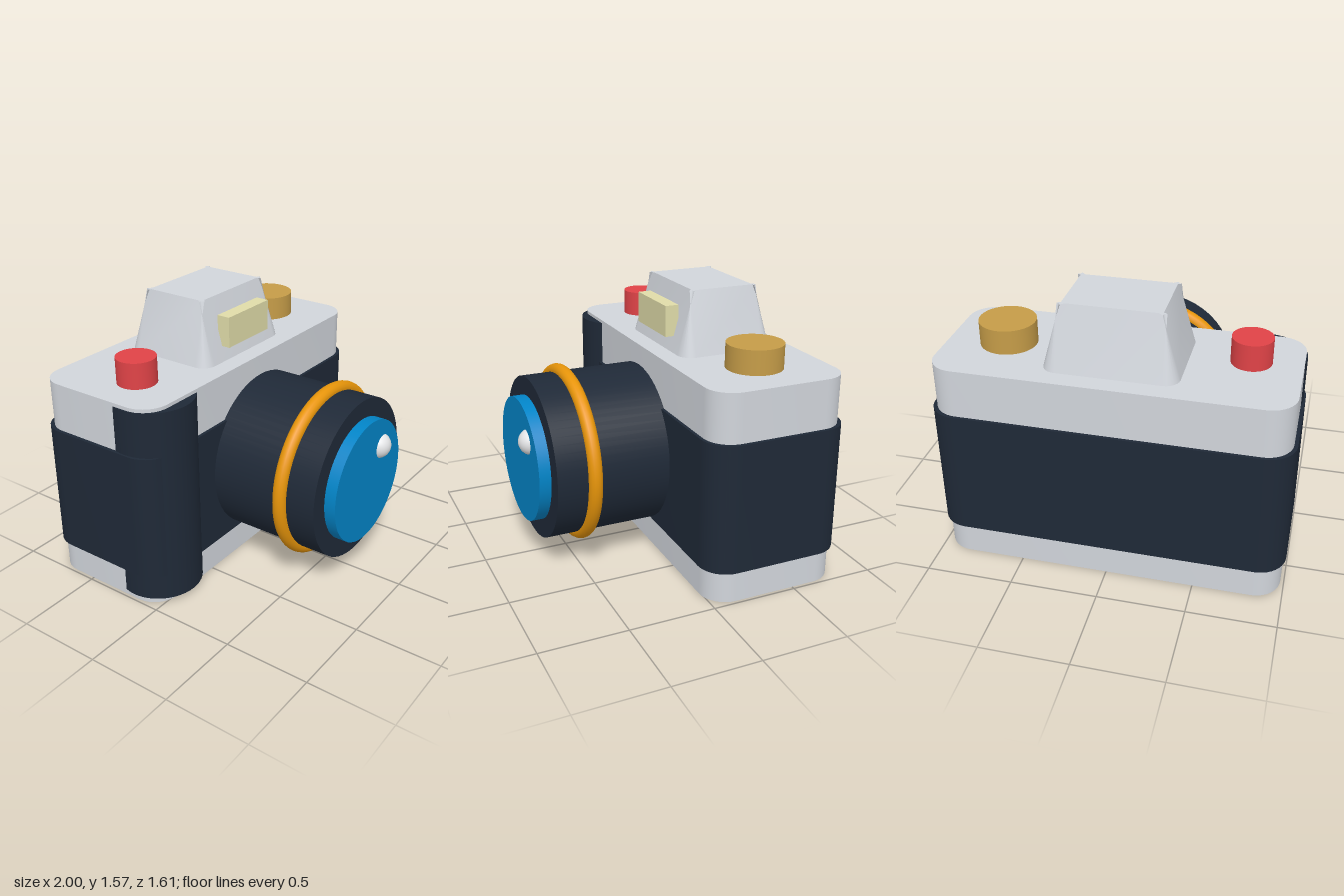
import * as THREE from 'three';
import { toCreasedNormals } from 'three/addons/utils/BufferGeometryUtils.js';

const paint = (name, color, side = THREE.FrontSide) => {
  const m = new THREE.MeshStandardMaterial({ color, side });
  m.name = name;
  return m;
};

// Closed outline of a rounded rectangle, inset by d; corners fold over when d exceeds r
function roundedOutline(w, h, r, d = 0, steps = 10) {
  const pts = [];
  const corners = [[1, 1], [-1, 1], [-1, -1], [1, -1]];
  corners.forEach(([sx, sy], i) => {
    for (let k = 0; k <= steps; k++) {
      const a = (i + k / steps) * Math.PI / 2;
      pts.push(new THREE.Vector2(
        sx * (w / 2 - r) + (r - d) * Math.cos(a),
        sy * (h / 2 - r) + (r - d) * Math.sin(a)));
    }
  });
  return pts;
}

// Upright slab with rounded vertical corners, from y0 to y1
function slab(w, depth, r, y0, y1) {
  const geo = new THREE.ExtrudeGeometry(new THREE.Shape(roundedOutline(w, depth, r)),
    { depth: y1 - y0, bevelEnabled: false });
  geo.rotateX(-Math.PI / 2).translate(0, y0, 0);
  return toCreasedNormals(geo, 0.6);
}

// Tapered hump: rounded base outline lofted to an inset top outline
function hump(w, depth, r, inset, height) {
  const base = roundedOutline(w, depth, r, 0, 6);
  const top = roundedOutline(w, depth, r, inset, 6);
  const v = [];
  const n = base.length;
  for (let i = 0; i < n; i++) {
    const j = (i + 1) % n;
    const a = [base[i].x, 0, -base[i].y], b = [base[j].x, 0, -base[j].y];
    const c = [top[j].x, height, -top[j].y], d = [top[i].x, height, -top[i].y];
    v.push(...a, ...b, ...c, ...a, ...c, ...d, ...d, ...c, 0, height, 0);
  }
  const geo = new THREE.BufferGeometry();
  geo.setAttribute('position', new THREE.Float32BufferAttribute(v, 3));
  geo.computeVertexNormals();
  return toCreasedNormals(geo, 0.5);
}

export function createModel() {
  const silver = paint('silver', 0xd1d5db);
  const humpSilver = silver;
  silver.side = THREE.DoubleSide;
  const dark = paint('dark leather', 0x1f2937);
  const orange = paint('orange', 0xf59e0b);
  const blue = paint('glass blue', 0x0284c7);
  const red = paint('red', 0xe04347);
  const gold = paint('gold', 0xc59c48);
  const cream = paint('cream', 0xe0dca9);
  const white = paint('white', 0xf3f4f6);

  const model = new THREE.Group();
  model.name = 'camera';
  const add = (name, geo, mat, x, y, z) => {
    const mesh = new THREE.Mesh(geo, mat);
    mesh.name = name;
    mesh.position.set(x, y, z);
    model.add(mesh);
    return mesh;
  };
  // Upright cylinder standing on y0
  const post = (name, mat, r, y0, y1, x, z) =>
    add(name, new THREE.CylinderGeometry(r, r, y1 - y0, 48), mat, x, (y0 + y1) / 2, z);
  // Cylinder along z
  const barrel = (name, mat, r, z0, z1, y) =>
    add(name, new THREE.CylinderGeometry(r, r, z1 - z0, 64).rotateX(Math.PI / 2), mat, 0, y, (z0 + z1) / 2);

  // Body, wrapped band and hand grip
  add('body', slab(1.96, 0.8, 0.15, 0, 1.21), silver, 0, 0, -0.39);
  add('leatherBand', slab(2, 0.835, 0.16, 0.185, 0.93), dark, 0, 0, -0.39);
  post('handGrip', dark, 0.24, 0.03, 1.19, -0.75, -0.17);

  // Viewfinder hump and flash window
  add('viewfinderHump', hump(0.74, 0.58, 0.08, 0.1, 0.36), humpSilver, 0, 1.21, -0.39);
  add('flashWindow', new THREE.BoxGeometry(0.38, 0.18, 0.08), cream, 0, 1.385, -0.112);

  // Top controls
  post('shutterButton', red, 0.113, 1.2, 1.36, -0.7, -0.315);
  post('dial', gold, 0.16, 1.2, 1.35, 0.64, -0.393);

  // Lens
  const lensY = 0.613;
  barrel('lensBarrel', dark, 0.475, -0.05, 0.69, lensY);
  add('focusRing', new THREE.TorusGeometry(0.48, 0.04, 16, 72), orange, 0, lensY, 0.475);
  barrel('lensGlass', blue, 0.365, 0.65, 0.758, lensY);
  add('lensGlint', new THREE.SphereGeometry(0.077, 32, 20), white, 0.15, 0.773, 0.728);

  return model;
}
